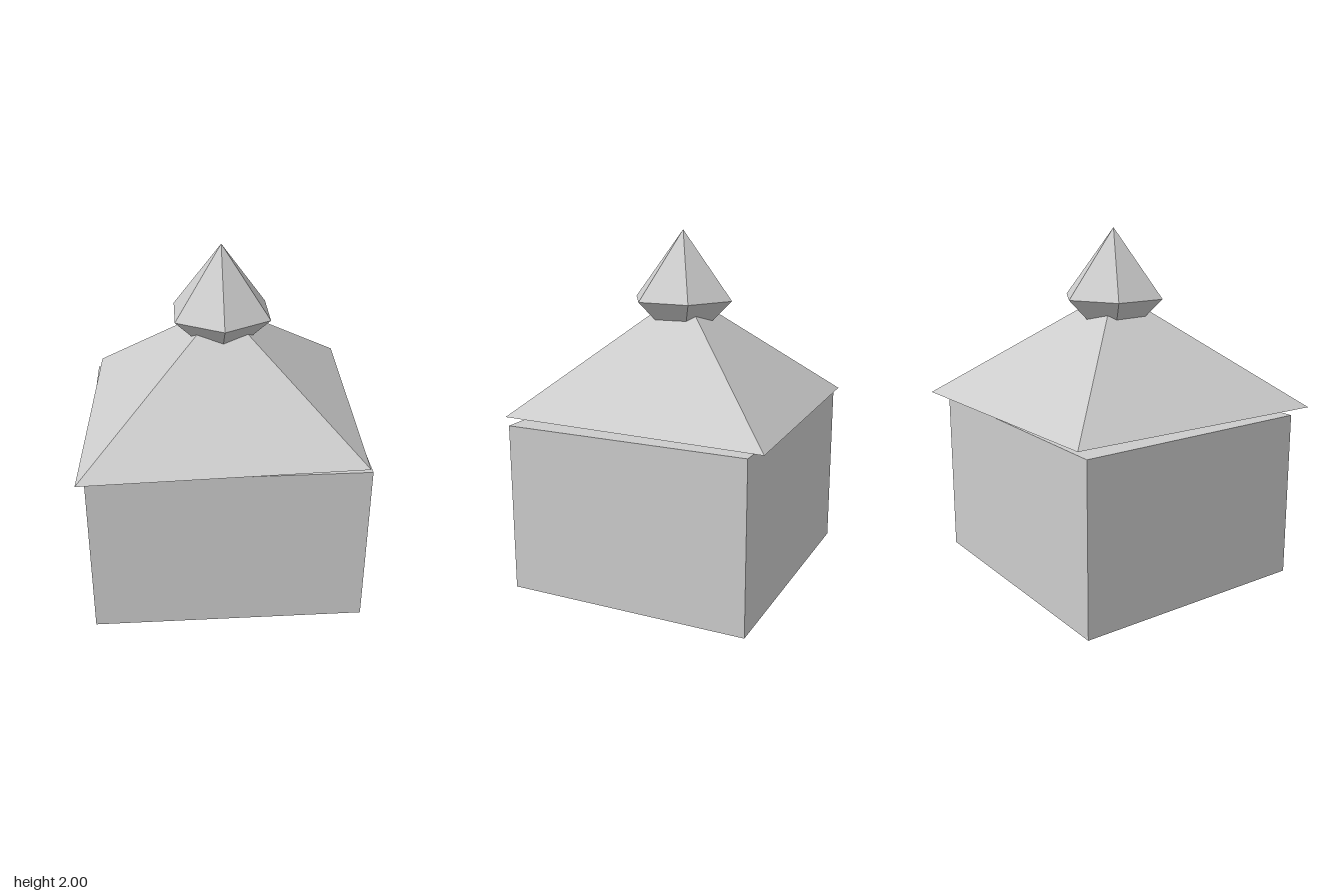
import * as THREE from 'three';

export function createModel() {
  const model = new THREE.Group();
  const stone = new THREE.MeshStandardMaterial({ color: 0xcccccc, flatShading: true });
  stone.name = 'pale grey';

  const add = (name, geometry) => {
    const mesh = new THREE.Mesh(geometry, stone);
    mesh.name = name;
    model.add(mesh);
  };

  // Closed double pyramid: lower tip, rim, upper tip
  const doublePyramid = (bottom, rimY, top, radius, sides, start) =>
    new THREE.LatheGeometry(
      [[0, bottom], [radius, rimY], [0, top]].map(([r, y]) => new THREE.Vector2(r, y)),
      sides, start);

  // Plain block walls
  add('walls', new THREE.BoxGeometry(1.52, 0.96, 1.4).translate(0, 0.48, 0));

  // Skewed roof: one diagonal pair of eave corners reaches further out
  const roof = doublePyramid(0.96, 1.0, 1.65, Math.SQRT2, 4, Math.PI / 4);
  const p = roof.attributes.position;
  for (let i = 0; i < p.count; i++) {
    const reach = p.getX(i) * p.getZ(i) < 0 ? 0.797 : 0.737;
    p.setX(i, p.getX(i) * reach);
    p.setZ(i, p.getZ(i) * reach);
  }
  roof.computeVertexNormals();
  add('roof', roof);

  // Six-sided finial sunk into the roof peak
  add('finial', doublePyramid(1.31, 1.61, 2.0, 0.303, 6, 0));

  return model;
}
